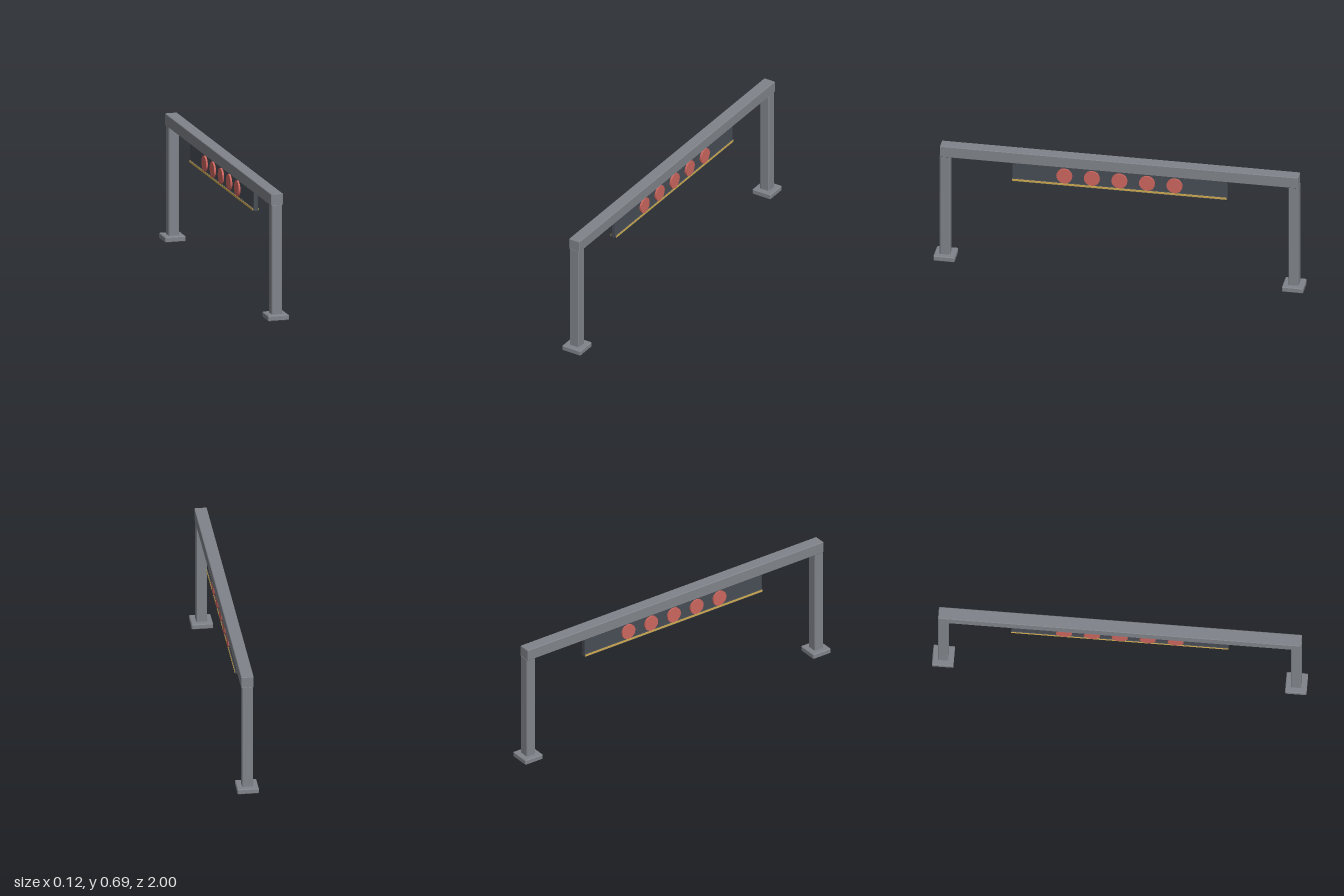
import * as THREE from 'three';
import { ConvexGeometry } from 'three/addons/geometries/ConvexGeometry.js';

const paint = (name, color) => {
  const m = new THREE.MeshStandardMaterial({ color });
  m.name = name;
  return m;
};

// Box with flat chamfers of width c on every edge
function chamferBox(w, h, d, c) {
  const points = [];
  for (const sx of [-1, 1]) for (const sy of [-1, 1]) for (const sz of [-1, 1]) {
    for (let axis = 0; axis < 3; axis++) {
      const half = [w / 2, h / 2, d / 2].map((s, i) => (i === axis ? s : s - c));
      points.push(new THREE.Vector3(sx * half[0], sy * half[1], sz * half[2]));
    }
  }
  return new ConvexGeometry(points);
}

export function createModel() {
  const steel = paint('grey steel', 0x80848a);
  const dark = paint('dark panel', 0x484d55);
  const red = paint('red lamp', 0xcc665e);
  const gold = paint('gold trim', 0xd0ac50);

  const model = new THREE.Group();
  model.name = 'gantry';
  const add = (name, geometry, material, x, y, z) => {
    const mesh = new THREE.Mesh(geometry, material);
    mesh.name = name;
    mesh.position.set(x, y, z);
    model.add(mesh);
    return mesh;
  };

  // Posts on foot plates at both ends
  const foot = chamferBox(0.115, 0.03, 0.115, 0.004);
  const post = chamferBox(0.058, 0.606, 0.056, 0.004);
  for (const [end, s] of [['front', 1], ['back', -1]]) {
    add(end + 'Foot', foot, steel, 0, 0.015, s * 0.9425);
    add(end + 'Post', post, steel, 0, 0.327, s * 0.9425);
  }

  // Crossbeam
  add('crossbeam', chamferBox(0.067, 0.065, 1.938, 0.003), steel, 0, 0.656, 0);

  // Hanging sign panel with a lip along its lower edge
  add('signPanel', chamferBox(0.024, 0.12, 1.162, 0.002), dark, 0, 0.566, 0);
  add('panelLip', chamferBox(0.034, 0.018, 1.162, 0.002), dark, 0, 0.513, 0);

  // Gold trim and five lamps on each side
  const trim = new THREE.BoxGeometry(0.004, 0.011, 1.16);
  const lamp = new THREE.CylinderGeometry(0.043, 0.043, 0.012, 20);
  lamp.rotateZ(Math.PI / 2);
  for (const [side, s] of [['left', 1], ['right', -1]]) {
    add(side + 'Trim', trim, gold, s * 0.0165, 0.515, 0);
    for (let i = -2; i <= 2; i++) {
      add(side + 'Lamp', lamp, red, s * 0.016, 0.566, i * 0.149);
    }
  }
  return model;
}
